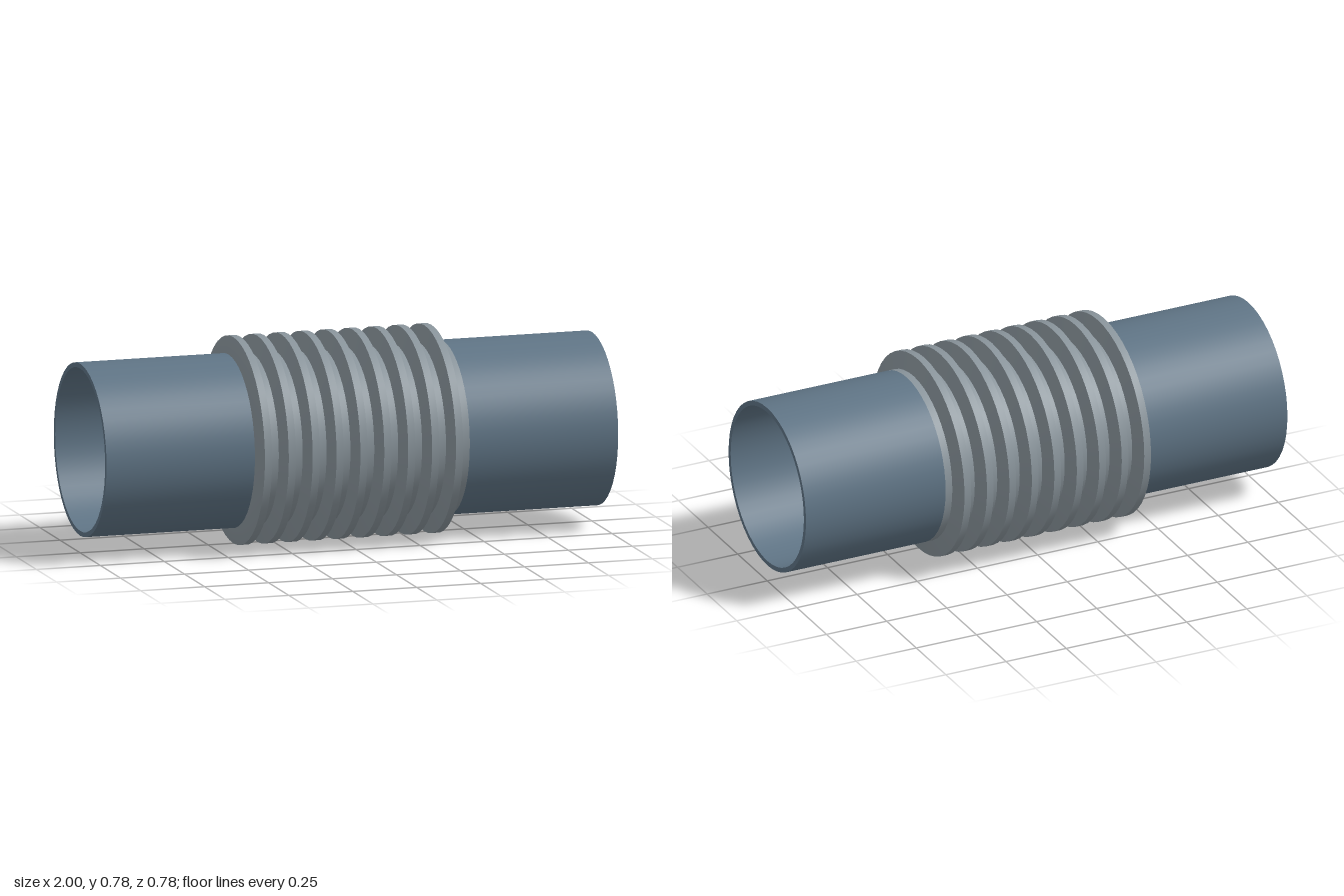
import * as THREE from 'three';
import { toCreasedNormals } from 'three/addons/utils/BufferGeometryUtils.js';

const OUTER = 0.327, INNER = 0.309, CREST = 0.392, WALL = OUTER - INNER;
const HALF_BELLOWS = 0.42, FOLDS = 9, SIDES = 48;

// Closed wall turned around the x axis: outer profile out, inner profile back.
// Profiles are lists of [x, radius] running towards +x.
function turnedShell(name, outer, inner, color) {
  const loop = [...outer, ...inner.slice().reverse(), outer[0]];
  const lathe = new THREE.LatheGeometry(loop.map(([x, r]) => new THREE.Vector2(r, x)), SIDES);
  const geometry = toCreasedNormals(lathe, 0.5);
  geometry.rotateZ(-Math.PI / 2);
  const mesh = new THREE.Mesh(geometry, new THREE.MeshStandardMaterial({ color }));
  mesh.name = name;
  return mesh;
}

// Trapezoid folds, each followed by a flat root
function foldProfile(root, crest, inset) {
  const pitch = (2 * HALF_BELLOWS) / FOLDS;
  const points = [];
  for (let i = 0; i < FOLDS; i++) {
    const x = -HALF_BELLOWS + i * pitch;
    points.push(
      [x + inset, root],
      [x + 0.2 * pitch + inset, crest],
      [x + 0.5 * pitch - inset, crest],
      [x + 0.7 * pitch - inset, root],
    );
  }
  points[0][0] = -HALF_BELLOWS;
  points.push([HALF_BELLOWS, root]);
  return points;
}

export function createModel() {
  const model = new THREE.Group();
  model.name = 'bellowsPipe';

  // Plain pipe at each end
  for (const [name, a, b] of [['leftPipe', HALF_BELLOWS, 1], ['rightPipe', -1, -HALF_BELLOWS]]) {
    model.add(turnedShell(name, [[a, OUTER], [b, OUTER]], [[a, INNER], [b, INNER]], 0x5f7485));
  }

  // Corrugated middle section
  model.add(turnedShell('bellows',
    foldProfile(OUTER, CREST, 0),
    foldProfile(INNER, CREST - WALL, 0.006), 0x8a959c));

  for (const part of model.children) part.position.y = CREST;
  return model;
}
